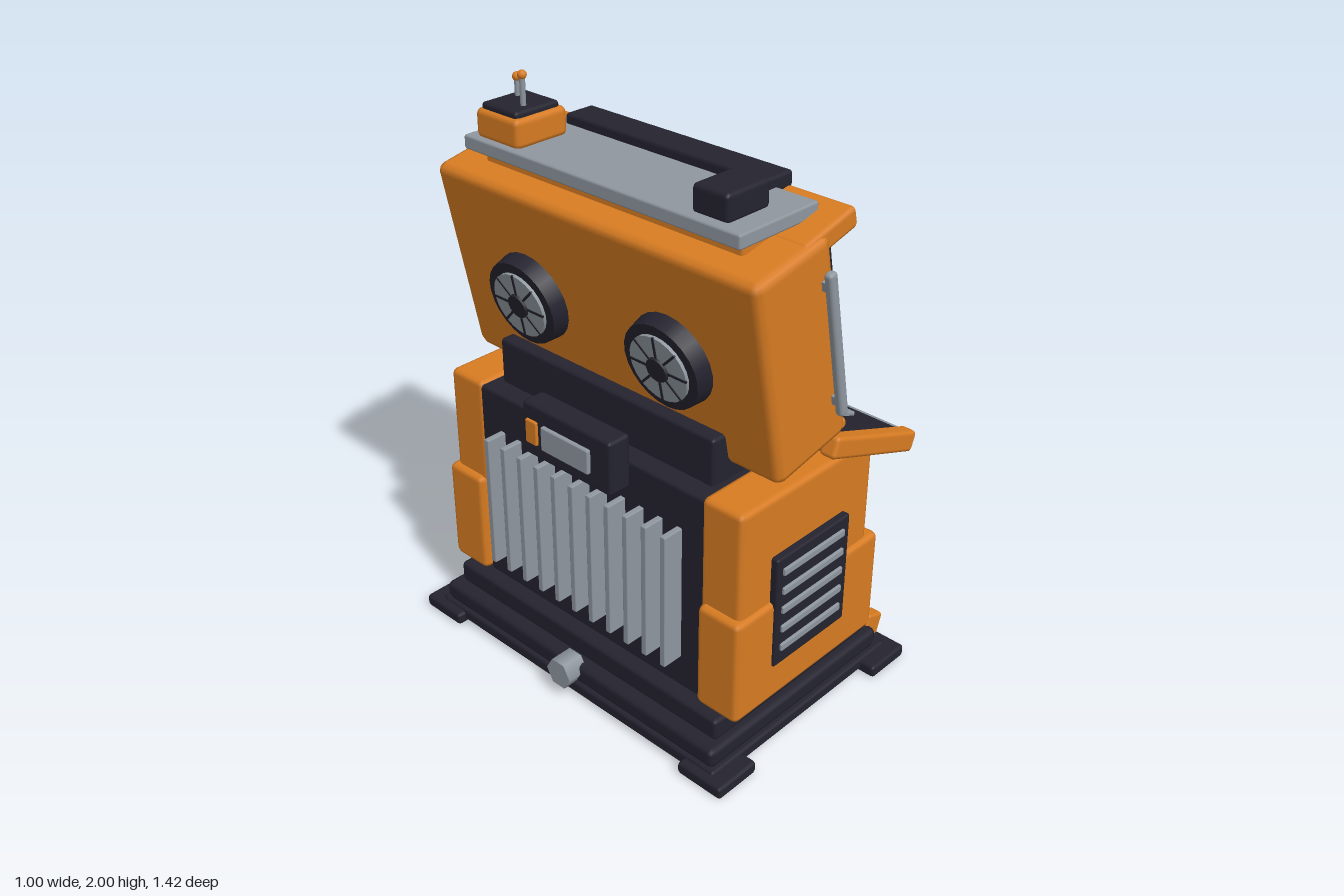
import * as THREE from 'three';
import { RoundedBoxGeometry } from 'three/addons/geometries/RoundedBoxGeometry.js';

const paint = (name, color) => Object.assign(new THREE.MeshStandardMaterial({ color }), { name });
const orange = paint('orange', 0xd87c22);
const dark = paint('dark', 0x24232f);
const glass = paint('screen glass', 0x23262d);
const steel = paint('steel', 0x8f979f);
const pale = paint('pale metal', 0xa3a19f);

function add(parent, name, geo, mat, x = 0, y = 0, z = 0) {
  const m = new THREE.Mesh(geo, mat);
  m.name = name;
  m.position.set(x, y, z);
  parent.add(m);
  return m;
}
// chamfered block given by its ranges
function block(parent, name, mat, [x0, x1], [y0, y1], [z0, z1], bevel = 0.012) {
  const s = [x1 - x0, y1 - y0, z1 - z0];
  const r = Math.min(bevel, Math.min(...s) * 0.3);
  return add(parent, name, new RoundedBoxGeometry(...s, 1, r), mat, (x0 + x1) / 2, (y0 + y1) / 2, (z0 + z1) / 2);
}
// the same block on both sides
function pair(parent, name, mat, xs, ys, [z0, z1], bevel) {
  return [block(parent, name + 'Left', mat, xs, ys, [z0, z1], bevel),
    block(parent, name + 'Right', mat, xs, ys, [-z1, -z0], bevel)];
}
function frame(parent, name, x, y, angle) {
  const g = new THREE.Group();
  g.name = name;
  g.position.set(x, y, 0);
  g.rotation.z = angle;
  parent.add(g);
  return g;
}

function buildBase(root) {
  const g = frame(root, 'base', 0, 0, 0);
  block(g, 'basePlate', dark, [-0.46, 0.43], [0.01, 0.055], [-0.655, 0.655]);
  block(g, 'baseStep', dark, [-0.45, 0.4], [0.05, 0.12], [-0.64, 0.64], 0.02);
  block(g, 'plinth', dark, [-0.4, 0.37], [0.115, 0.195], [-0.61, 0.61], 0.015);
  pair(g, 'backFoot', dark, [-0.49, -0.315], [0, 0.045], [0.53, 0.71]);
  pair(g, 'frontFoot', dark, [0.295, 0.47], [0, 0.045], [0.53, 0.71]);
  block(g, 'kickPlate', pale, [0.39, 0.415], [0.035, 0.145], [-0.56, 0.56], 0.004).rotation.z = 0.3;
  pair(g, 'kickClamp', orange, [0.38, 0.465], [0.06, 0.145], [0.555, 0.61]).forEach(m => { m.rotation.z = -0.35; });
  const hitch = add(g, 'hitchKnob', new THREE.CylinderGeometry(0.055, 0.055, 0.08, 6), steel, -0.46, 0.095, 0);
  hitch.rotation.z = Math.PI / 2;
}

function buildCabinet(root) {
  const g = frame(root, 'cabinet', 0, 0, 0);
  block(g, 'core', dark, [-0.345, 0.305], [0.19, 0.94], [-0.51, 0.51]);
  block(g, 'neck', dark, [-0.275, 0.165], [0.9, 1.1], [-0.47, 0.47]);
  pair(g, 'upperSide', orange, [-0.35, 0.275], [0.5, 0.95], [0.49, 0.65], 0.02);
  pair(g, 'lowerSide', orange, [-0.375, 0.318], [0.2, 0.578], [0.5, 0.667], 0.02);
  // side vents
  pair(g, 'ventPanel', dark, [-0.21, 0.14], [0.335, 0.74], [0.64, 0.676], 0.008);
  for (let i = 0; i < 5; i++) {
    const y = 0.402 + i * 0.0715;
    pair(g, 'ventSlat', steel, [-0.185, 0.108], [y - 0.013, y + 0.013], [0.67, 0.685], 0.005);
  }
  // service door
  block(g, 'doorSurround', dark, [0.29, 0.32], [0.21, 0.75], [-0.39, 0.39]);
  block(g, 'doorTrim', steel, [0.3, 0.333], [0.27, 0.728], [-0.37, 0.37], 0.006);
  block(g, 'door', dark, [0.3, 0.337], [0.29, 0.708], [-0.347, 0.347], 0.006);
  block(g, 'doorLabel', orange, [0.32, 0.348], [0.62, 0.668], [-0.122, 0.122], 0.006);
  pair(g, 'doorHandle', steel, [0.33, 0.36], [0.41, 0.6], [0.262, 0.28], 0.006);
  // brackets that carry the console
  const tri = new THREE.Shape([[0.29, 0.72], [0.41, 0.79], [0.38, 0.87], [0.29, 0.9]].map(p => new THREE.Vector2(...p)));
  const bracket = depth => new THREE.ExtrudeGeometry(tri, { depth, bevelEnabled: false });
  for (const z of [0.385, -0.435]) add(g, 'consoleBracket', bracket(0.05), dark, 0, 0, z);
  block(g, 'consoleSupport', dark, [0.27, 0.35], [0.8, 0.9], [-0.5, 0.5]);
  // back fins and junction box
  for (let i = -5; i <= 5; i++) {
    block(g, 'backFin', steel, [-0.42, -0.34], [0.31, 0.8], [i * 0.08 - 0.011, i * 0.08 + 0.011], 0.004);
  }
  block(g, 'junctionBox', dark, [-0.43, -0.343], [0.85, 1.04], [-0.195, 0.195]);
  block(g, 'junctionPlate', steel, [-0.444, -0.42], [0.9, 0.985], [-0.1, 0.11], 0.005);
  block(g, 'junctionSwitch', orange, [-0.44, -0.42], [0.9, 0.985], [-0.175, -0.125], 0.005);
}

function buildConsole(root) {
  const g = frame(root, 'console', 0.27, 0.925, -0.36);
  pair(g, 'consoleArm', orange, [-0.227, 0.227], [-0.037, 0.037], [0.605, 0.667], 0.015);
  block(g, 'deck', dark, [-0.2, 0.215], [-0.035, 0.025], [-0.61, 0.61]);
  const nose = add(g, 'noseRail', new THREE.CylinderGeometry(0.022, 0.022, 1.2, 10), steel, 0.218, 0.005, 0);
  nose.rotation.x = Math.PI / 2;
  // keypad
  block(g, 'keypadPlate', steel, [-0.115, 0.133], [0.015, 0.038], [0.08, 0.48], 0.005);
  for (let c = 0; c < 3; c++) {
    for (let r = 0; r < 5; r++) {
      const x = -0.056 + c * 0.049, z = 0.158 + r * 0.0625;
      block(g, 'key', dark, [x - 0.019, x + 0.019], [0.03, 0.054], [z - 0.019, z + 0.019], 0.006);
    }
  }
  block(g, 'enterBar', orange, [0.073, 0.107], [0.03, 0.052], [0.175, 0.385], 0.006);
  // buttons and dial
  for (const z of [-0.02, -0.105, -0.19]) {
    block(g, 'button', steel, [-0.005, 0.055], [0.02, 0.042], [z - 0.028, z + 0.028], 0.006);
  }
  add(g, 'dialCollar', new THREE.CylinderGeometry(0.043, 0.046, 0.02, 16), dark, 0.018, 0.03, -0.303);
  add(g, 'dial', new THREE.CylinderGeometry(0.032, 0.04, 0.035, 16), steel, 0.018, 0.05, -0.303);
  block(g, 'dialMark', dark, [0.02, 0.045], [0.02, 0.035], [-0.408, -0.394], 0.003);
  // card reader
  block(g, 'readerBox', orange, [-0.088, 0.1], [0.01, 0.062], [-0.56, -0.415], 0.015);
  block(g, 'readerPlate', steel, [-0.055, 0.08], [0.05, 0.074], [-0.54, -0.435], 0.006);
  for (const x of [-0.022, 0.022]) block(g, 'readerSlot', dark, [x - 0.008, x + 0.008], [0.07, 0.077], [-0.525, -0.45], 0.002);
}

function buildHead(root) {
  const g = frame(root, 'head', -0.115, 1.36, 0.197);
  block(g, 'headShell', orange, [-0.16, 0.16], [-0.35, 0.35], [-0.665, 0.665], 0.03);
  block(g, 'screenBezel', dark, [0.13, 0.213], [-0.345, 0.33], [-0.61, 0.61]);
  block(g, 'screen', glass, [0.18, 0.217], [-0.275, 0.285], [-0.56, 0.56], 0.004);
  pair(g, 'bezelRim', dark, [0.19, 0.224], [-0.3, 0.31], [0.56, 0.605], 0.008);
  for (const y of [-0.29, 0.3]) block(g, 'bezelRim', dark, [0.19, 0.224], [y - 0.017, y + 0.017], [-0.6, 0.6], 0.008);
  pair(g, 'chinCorner', orange, [0.13, 0.2], [-0.375, -0.34], [0.47, 0.63]);
  // grab bars
  for (const s of [-1, 1]) {
    add(g, 'grabBar', new RoundedBoxGeometry(0.035, 0.5, 0.03, 2, 0.012), steel, 0.11, 0.01, s * 0.69);
    for (const y of [-0.19, 0.21]) add(g, 'grabBarMount', new THREE.BoxGeometry(0.025, 0.03, 0.04), steel, 0.11, y, s * 0.67);
  }
  // round back fans
  for (const z of [-0.3, 0.3]) {
    const fan = frame(g, 'backFan', -0.16, -0.02, Math.PI / 2);
    fan.position.z = z;
    add(fan, 'fanRing', new THREE.CylinderGeometry(0.145, 0.155, 0.06, 24), dark, 0, 0.025, 0);
    add(fan, 'fanDisc', new THREE.CylinderGeometry(0.112, 0.112, 0.012, 24), steel, 0, 0.06, 0);
    add(fan, 'fanHub', new THREE.CylinderGeometry(0.04, 0.045, 0.02, 12), dark, 0, 0.065, 0);
    for (let i = 0; i < 4; i++) {
      add(fan, 'fanSpoke', new THREE.BoxGeometry(0.225, 0.006, 0.008), dark, 0, 0.066, 0).rotation.y = i * Math.PI / 4;
    }
  }
}

function buildTop(root) {
  const g = frame(root, 'topGear', 0, 0, 0);
  const brim = frame(g, 'brim', 0, 1.713, 0.25);
  block(brim, 'brimSlab', orange, [-0.12, 0.112], [-0.035, 0.035], [-0.65, 0.65], 0.015);
  block(g, 'roofPlate', steel, [-0.295, 0.04], [1.735, 1.782], [-0.565, 0.565], 0.008);
  block(g, 'roofRiser', orange, [-0.24, 0.02], [1.67, 1.74], [-0.53, 0.53]);
  block(g, 'lampBar', dark, [-0.007, 0.11], [1.76, 1.815], [-0.415, 0.415]);
  // camera box
  block(g, 'cameraBox', dark, [-0.26, -0.083], [1.775, 1.865], [0.355, 0.492], 0.015);
  const lens = add(g, 'cameraLens', new THREE.CylinderGeometry(0.023, 0.023, 0.03, 12), steel, -0.078, 1.825, 0.425);
  lens.rotation.z = Math.PI / 2;
  // antenna box
  block(g, 'antennaBox', orange, [-0.275, -0.065], [1.775, 1.872], [-0.53, -0.335], 0.02);
  block(g, 'antennaCap', dark, [-0.26, -0.083], [1.85, 1.89], [-0.515, -0.352]);
  for (const [x, z, top] of [[-0.195, -0.393, 1.985], [-0.143, -0.477, 1.95]]) {
    add(g, 'antennaRod', new THREE.CylinderGeometry(0.009, 0.009, top - 1.87, 8), steel, x, (top + 1.87) / 2, z);
    add(g, 'antennaTip', new THREE.SphereGeometry(0.015, 10, 8), orange, x, top, z);
  }
}

export function createModel() {
  const root = new THREE.Group();
  root.name = 'consoleCabinet';
  [buildBase, buildCabinet, buildConsole, buildHead, buildTop].forEach(build => build(root));
  return root;
}
